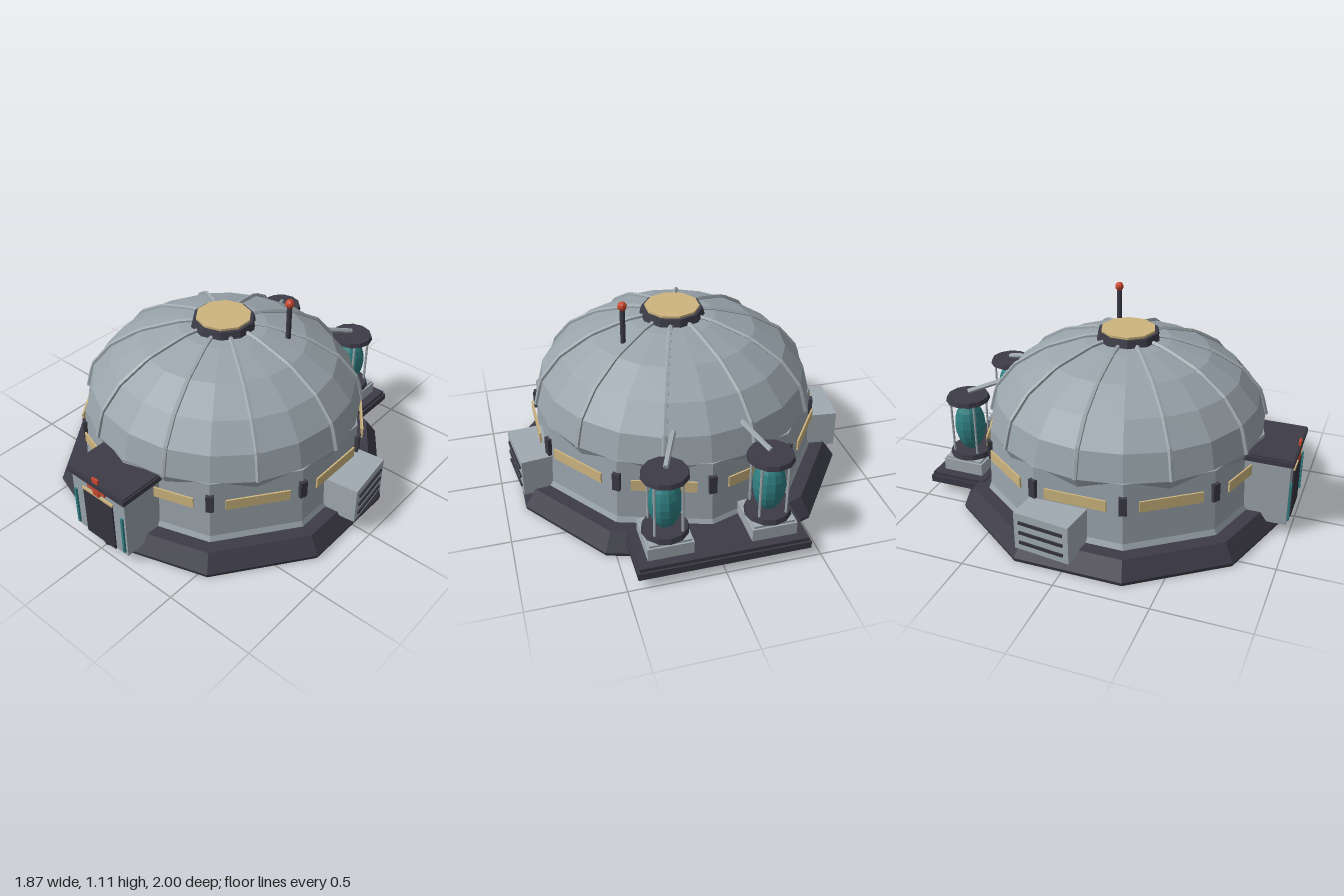
import * as THREE from 'three';

const mat = (name, color) => {
  const m = new THREE.MeshStandardMaterial({ color });
  m.name = name;
  return m;
};

// Faceted normals for low-poly parts
const flat = (geo) => {
  const g = geo.index ? geo.toNonIndexed() : geo;
  g.computeVertexNormals();
  return g;
};

export function createModel() {
  const hull = mat('hull grey', 0x98a3aa);
  const trim = mat('trim grey', 0xa0aab0);
  const dark = mat('dark slate', 0x3c3b47);
  const door = mat('door charcoal', 0x35343f);
  const gold = mat('window gold', 0xcdb57f);
  const teal = mat('tank teal', 0x2f7f82);
  const red = mat('signal red', 0xc9472f);

  const root = new THREE.Group();
  root.name = 'domeBuilding';
  const group = (name, parent, x = 0, y = 0, z = 0, ry = 0) => {
    const g = new THREE.Group();
    g.name = name;
    g.position.set(x, y, z);
    g.rotation.y = ry;
    parent.add(g);
    return g;
  };
  const add = (name, parent, geo, m, x = 0, y = 0, z = 0) => {
    const mesh = new THREE.Mesh(geo, m);
    mesh.name = name;
    mesh.position.set(x, y, z);
    parent.add(mesh);
    return mesh;
  };
  const box = (name, parent, m, w, h, d, x, y, z) =>
    add(name, parent, new THREE.BoxGeometry(w, h, d), m, x, y, z);
  // Faceted cylinder between two heights
  const drum = (name, parent, m, rTop, rBot, y0, y1, sides, x = 0, z = 0) =>
    add(name, parent, flat(new THREE.CylinderGeometry(rTop, rBot, y1 - y0, sides)), m, x, (y0 + y1) / 2, z);
  // Straight rod between two points
  const rod = (name, parent, m, a, b, r, sides = 6) => {
    const p = new THREE.Vector3(...a), q = new THREE.Vector3(...b);
    const mesh = add(name, parent, flat(new THREE.CylinderGeometry(r, r, p.distanceTo(q), sides)), m);
    mesh.position.copy(p).lerp(q, 0.5);
    mesh.quaternion.setFromUnitVectors(new THREE.Vector3(0, 1, 0), q.sub(p).normalize());
    return mesh;
  };

  // Main ten-sided body
  const body = group('body', root, 0, 0, 0.03);
  drum('foundationFoot', body, dark, 0.94, 0.935, 0, 0.02, 10);
  drum('foundation', body, dark, 0.875, 0.94, 0.02, 0.11, 10);
  drum('wallSkirt', body, hull, 0.785, 0.8, 0.11, 0.14, 10);
  drum('wall', body, hull, 0.77, 0.787, 0.11, 0.475, 10);

  // Dome shell
  const R = 0.76, Y = 0.47, H = 0.47;
  const profile = [new THREE.Vector2(0.715, 0.37)];
  for (let i = 0; i <= 5; i++) {
    const t = (i * Math.PI) / 10;
    profile.push(new THREE.Vector2(Math.max(R * Math.cos(t), 0.0001), Y + H * Math.sin(t)));
  }
  add('dome', body, flat(new THREE.LatheGeometry(profile, 20)), hull);

  // Ribs over the dome
  const ribCurve = new THREE.CurvePath();
  const ribPoints = profile.slice(1, 6).map((p) => new THREE.Vector3(p.x + 0.003, p.y + 0.003, 0));
  for (let i = 0; i < 4; i++) ribCurve.add(new THREE.LineCurve3(ribPoints[i], ribPoints[i + 1]));
  ribCurve.add(new THREE.LineCurve3(ribPoints[4], new THREE.Vector3(0.12, 0.935, 0)));
  const ribGeo = flat(new THREE.TubeGeometry(ribCurve, 16, 0.013, 5));
  for (let i = 0; i < 10; i++) {
    add('rib', body, ribGeo, trim).rotation.y = (i * Math.PI) / 5;
  }

  // Windows on the flats, pillars on the corners
  for (let i = 0; i < 10; i++) {
    const face = group('wallSide', body, 0, 0, 0, (i * Math.PI) / 5 + Math.PI / 10);
    box('window', face, gold, 0.33, 0.06, 0.009, 0, 0.36, 0.77);
    const corner = group('wallCorner', body, 0, 0, 0, (i * Math.PI) / 5);
    box('cornerPillar', corner, dark, 0.04, 0.1, 0.03, 0, 0.357, 0.775);
  }

  // Skylight
  drum('skylightRim', body, dark, 0.165, 0.175, 0.925, 0.965, 10);
  drum('skylight', body, gold, 0.148, 0.148, 0.965, 0.977, 10);

  // Antenna
  rod('antennaMast', root, dark, [0.305, 0.87, -0.135], [0.305, 1.075, -0.135], 0.014, 8);
  add('antennaLight', root, flat(new THREE.SphereGeometry(0.025, 8, 6)), red, 0.305, 1.085, -0.135);

  // Entrance porch
  const porch = group('entrance', root);
  box('porchBody', porch, hull, 0.38, 0.36, 0.28, 0, 0.24, 0.842);
  box('porchRoof', porch, dark, 0.41, 0.03, 0.27, 0, 0.432, 0.863);
  box('porchRoofTop', porch, dark, 0.395, 0.008, 0.26, 0, 0.451, 0.863);
  box('doorPanel', porch, door, 0.21, 0.285, 0.009, 0, 0.2, 0.986);
  box('doorLamp', porch, gold, 0.22, 0.013, 0.012, 0, 0.358, 0.987);
  for (const s of [-1, 1]) box('doorLight', porch, teal, 0.014, 0.23, 0.012, s * 0.17, 0.195, 0.987);
  box('crossUpright', porch, red, 0.042, 0.11, 0.012, 0, 0.421, 0.991);
  box('crossBar', porch, red, 0.125, 0.03, 0.012, 0, 0.405, 0.989);

  // Vent boxes and tank stands on both sides
  for (const s of [-1, 1]) {
    const vent = group('ventBox', root, s * 0.793, 0, -0.08, s * 0.122);
    box('ventHousing', vent, trim, 0.24, 0.21, 0.31, 0, 0.195, 0);
    for (const y of [0.135, 0.193, 0.25]) {
      box('ventSlat', vent, door, 0.012, 0.016, 0.25, s * 0.122, y, 0);
    }

    const tank = group('tank', root, s * 0.267, 0, -0.825);
    box('tankPedestal', tank, trim, 0.235, 0.07, 0.235, 0, 0.15, 0);
    box('tankPedestalTop', tank, trim, 0.215, 0.015, 0.215, 0, 0.19, 0);
    drum('tankBottomRing', tank, dark, 0.115, 0.122, 0.197, 0.225, 12);
    const glass = add('tankGlass', tank, flat(new THREE.SphereGeometry(0.085, 12, 10)), teal, 0, 0.37, 0);
    glass.scale.y = 1.8;
    drum('tankTopRing', tank, dark, 0.1, 0.1, 0.515, 0.53, 12);
    drum('tankLid', tank, dark, 0.115, 0.122, 0.528, 0.553, 12);
    for (let i = 0; i < 4; i++) {
      const a = Math.PI / 4 + (i * Math.PI) / 2;
      const x = 0.1 * Math.cos(a), z = 0.1 * Math.sin(a);
      rod('tankRod', tank, trim, [x, 0.21, z], [x, 0.53, z], 0.007);
    }
    rod('feedPipe', root, trim, [s * 0.175, 0.635, -0.64], [s * 0.262, 0.572, -0.825], 0.014);
    rod('drainPipe', root, dark, [s * 0.225, 0.31, -0.64], [s * 0.25, 0.19, -0.71], 0.016);
  }

  // Rear platform
  box('rearPlatform', root, dark, 0.89, 0.04, 0.33, 0, 0.075, -0.835);
  box('rearPlatformTop', root, dark, 0.87, 0.02, 0.32, 0, 0.105, -0.83);

  return root;
}
